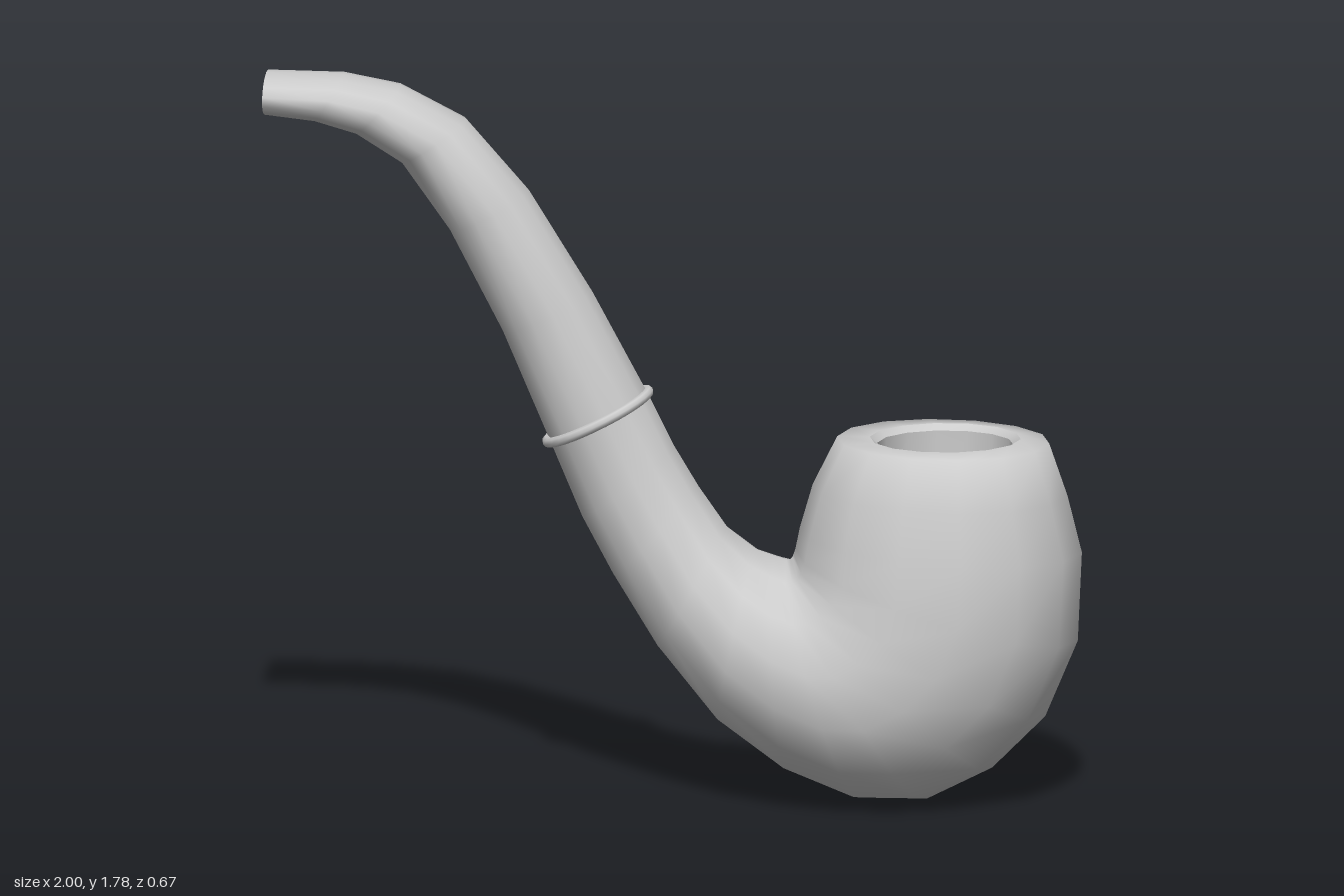
import * as THREE from 'three';
import { toCreasedNormals } from 'three/addons/utils/BufferGeometryUtils.js';

const SIDES = 14;

// Lofts elliptical sections [outerX, outerY, innerX, innerY, halfWidthZ].
function loft(name, sections, crease) {
  const pos = [], index = [];
  sections.forEach(([px, py, qx, qy, w], i) => {
    const cx = (px + qx) / 2, cy = (py + qy) / 2;
    for (let j = 0; j < SIDES; j++) {
      const t = (j / SIDES) * Math.PI * 2, c = Math.cos(t);
      pos.push(cx + (px - cx) * c, cy + (py - cy) * c, w * 1.025 * Math.sin(t));
      if (i === 0) continue;
      const k = (j + 1) % SIDES, a = (i - 1) * SIDES, b = i * SIDES;
      index.push(a + j, b + j, a + k, b + j, b + k, a + k);
    }
  });
  const geo = new THREE.BufferGeometry();
  geo.setAttribute('position', new THREE.Float32BufferAttribute(pos, 3));
  geo.setIndex(index);
  const mesh = new THREE.Mesh(
    toCreasedNormals(geo, crease),
    new THREE.MeshStandardMaterial({ color: 0xcccccc, side: THREE.DoubleSide })
  );
  mesh.name = name;
  return mesh;
}

export function createModel() {
  const group = new THREE.Group();
  group.name = 'smokingPipe';

  // Curved stem, flattened towards the closed mouth end
  const joint = [-0.305, 0.88, -0.065, 1.0, 0.13];
  group.add(loft('stem', [
    [-1, 1.735, -1, 1.735, 0],
    [-1, 1.685, -1, 1.785, 0.127],
    [-0.88, 1.67, -0.81, 1.783, 0.127],
    [-0.78, 1.64, -0.67, 1.757, 0.127],
    [-0.67, 1.57, -0.51, 1.675, 0.127],
    [-0.55, 1.4, -0.355, 1.5, 0.127],
    [-0.42, 1.15, -0.2, 1.25, 0.127],
    joint,
  ], 1.2));

  // Shank and bowl: sections fan round the inner corner, then close in to the rim
  group.add(loft('shankAndBowl', [
    joint,
    [-0.225, 0.69, 0, 0.87, 0.133],
    [-0.15, 0.55, 0.06, 0.77, 0.15],
    [-0.04, 0.37, 0.13, 0.67, 0.185],
    [0.11, 0.19, 0.2, 0.615, 0.24],
    [0.28, 0.07, 0.25, 0.597, 0.29],
    [0.46, 0, 0.275, 0.59, 0.315],
    [0.62, 0, 0.285, 0.592, 0.328],
    [0.78, 0.08, 0.29, 0.597, 0.335],
    [0.91, 0.21, 0.293, 0.605, 0.335],
    [0.99, 0.4, 0.298, 0.62, 0.335],
    [1, 0.62, 0.308, 0.67, 0.32],
    [0.965, 0.76, 0.34, 0.78, 0.292],
    [0.92, 0.89, 0.4, 0.9, 0.25],
    [0.85, 0.9, 0.48, 0.9, 0.18],
  ], 1.4));

  // Tobacco chamber with bevelled lip and flat floor
  group.add(loft('chamber', [
    [0.85, 0.9, 0.48, 0.9, 0.18],
    [0.832, 0.885, 0.498, 0.885, 0.163],
    [0.832, 0.35, 0.498, 0.35, 0.163],
    [0.665, 0.35, 0.665, 0.35, 0],
  ], 0.6));

  // Thin band at the joint between stem and shank
  const band = new THREE.Mesh(
    new THREE.TorusGeometry(0.138, 0.013, 8, 28),
    new THREE.MeshStandardMaterial({ color: 0xcccccc })
  );
  band.name = 'band';
  band.position.set(-0.187, 0.94, 0);
  band.lookAt(-0.187 + 0.12, 0.94 - 0.24, 0);
  group.add(band);

  return group;
}
